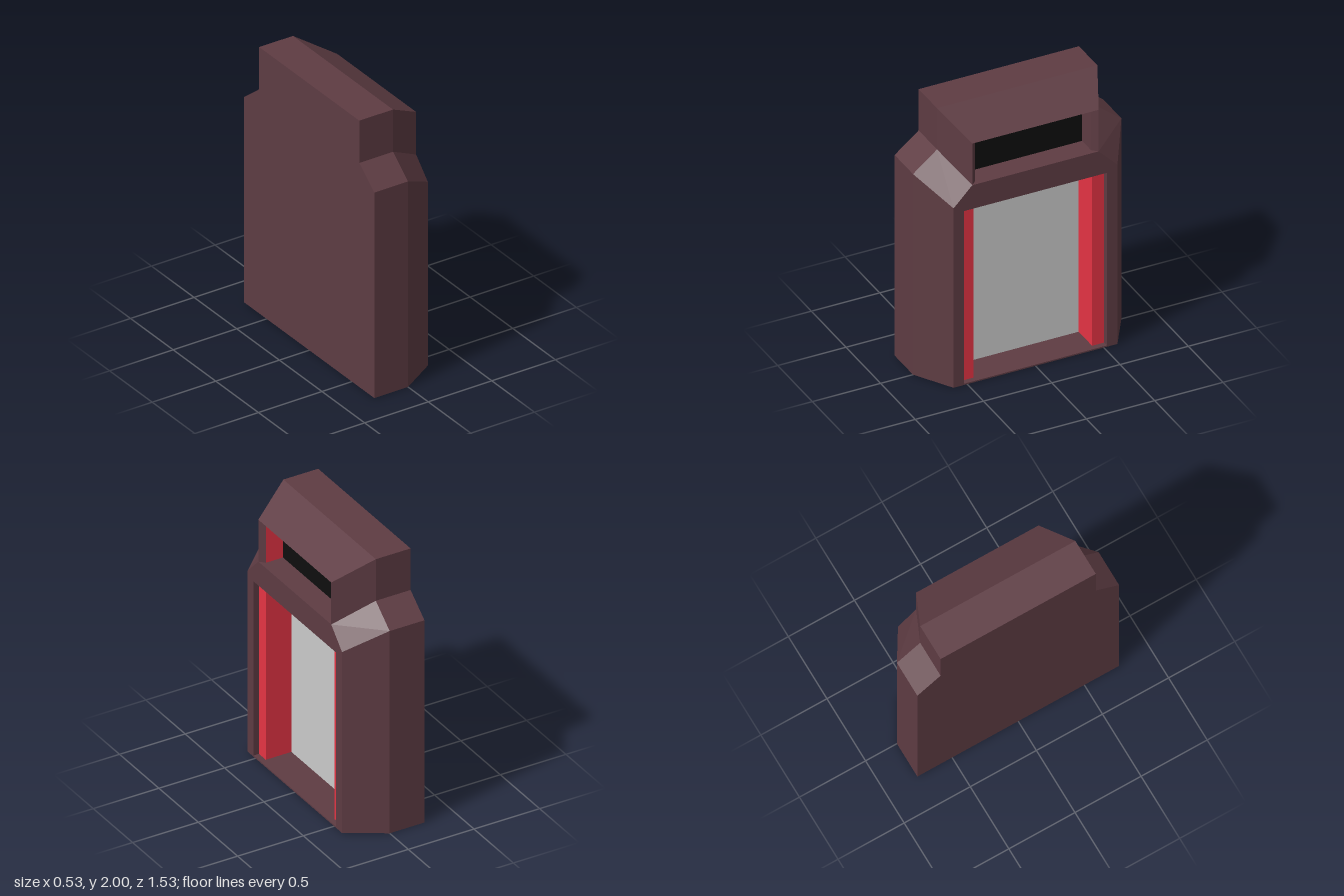
import * as THREE from 'three';

const MAROON = 0x5e3c43, RED = 0xe63444, BLACK = 0x0e0e0e, GREY = 0xcccccc;

export function createModel() {
  const group = new THREE.Group();

  const add = (name, geometry, color) => {
    const material = new THREE.MeshStandardMaterial({ color, flatShading: true });
    const mesh = new THREE.Mesh(geometry, material);
    mesh.name = name;
    group.add(mesh);
  };

  // Rings hold [u, y] points, counterclockwise seen from +x, with u = -z.
  const rect = (w, y0, y1) => [[-w, y0], [w, y0], [w, y1], [-w, y1]];
  const outline = (w, shoulder, neck, neckY, top) => {
    const half = [[w, 0], [w, shoulder], [neck, neckY], [neck, top]];
    return [...half, ...half.map(([u, y]) => [-u, y]).reverse()];
  };

  // Joins two matching rings with flat quads, on the chosen edges only.
  const loft = (name, a, xa, b, xb, color, edges = a.map((_, i) => i)) => {
    const pos = [];
    for (const i of edges) {
      const j = (i + 1) % a.length;
      const p = [[xa, a[i]], [xa, a[j]], [xb, b[j]], [xb, b[i]]];
      for (const k of [0, 1, 2, 0, 2, 3]) pos.push(p[k][0], p[k][1][1], -p[k][1][0]);
    }
    const g = new THREE.BufferGeometry();
    g.setAttribute('position', new THREE.Float32BufferAttribute(pos, 3));
    g.computeVertexNormals();
    add(name, g, color);
  };

  // Flat panel facing +x (or -x when back is true).
  const panel = (name, ring, x, color, { hole, back } = {}) => {
    const toVec = (r) => r.map(([u, y]) => new THREE.Vector2(u, y));
    const shape = new THREE.Shape(toVec(ring));
    if (hole) shape.holes.push(new THREE.Path(toVec(hole)));
    const g = new THREE.ShapeGeometry(shape);
    g.rotateY(back ? -Math.PI / 2 : Math.PI / 2).translate(x, 0, 0);
    add(name, g, color);
  };

  // Outer housing: straight rear half, bevelled front half
  const rear = outline(0.763, 1.543, 0.587, 1.683, 2);
  const front = outline(0.6, 1.38, 0.463, 1.52, 1.84);
  loft('housingRear', rear, -0.265, rear, 0, MAROON);
  loft('housingBevel', rear, 0, front, 0.265, MAROON);
  panel('backPanel', rear, -0.265, MAROON, { back: true });

  // Front frame around the doorway
  const door = rect(0.523, 0.01, 1.338);
  const frame = [[-0.6, 0], [0.6, 0], [0.6, 1.38], [0.463, 1.52], [-0.463, 1.52], [-0.6, 1.38]];
  panel('frontFrame', frame, 0.265, MAROON, { hole: door });

  // Doorway recess: edges are 0 floor, 1 right, 2 ceiling, 3 left
  const inner = rect(0.435, 0.01, 1.338);
  loft('doorwayReturn', door, 0.265, door, 0.225, MAROON);
  loft('doorwayRedTrim', door, 0.225, inner, 0.225, RED, [1, 3]);
  loft('doorwayRedSides', inner, 0.225, inner, 0.03, RED, [1, 3]);
  loft('doorwayFloorAndCeiling', inner, 0.225, inner, 0.03, MAROON, [0, 2]);
  panel('doorPanel', inner, 0.03, GREY);

  // Sign box recess above the doorway
  const signOuter = rect(0.463, 1.52, 1.84);
  const signInner = rect(0.425, 1.52, 1.82);
  loft('signBevel', signOuter, 0.265, signInner, 0.23, MAROON);
  loft('signRecess', signInner, 0.23, signInner, 0.1, MAROON, [0, 1, 2]);
  loft('signRedSide', signInner, 0.23, signInner, 0.1, RED, [3]);
  panel('signScreen', signInner, 0.1, BLACK);

  return group;
}
